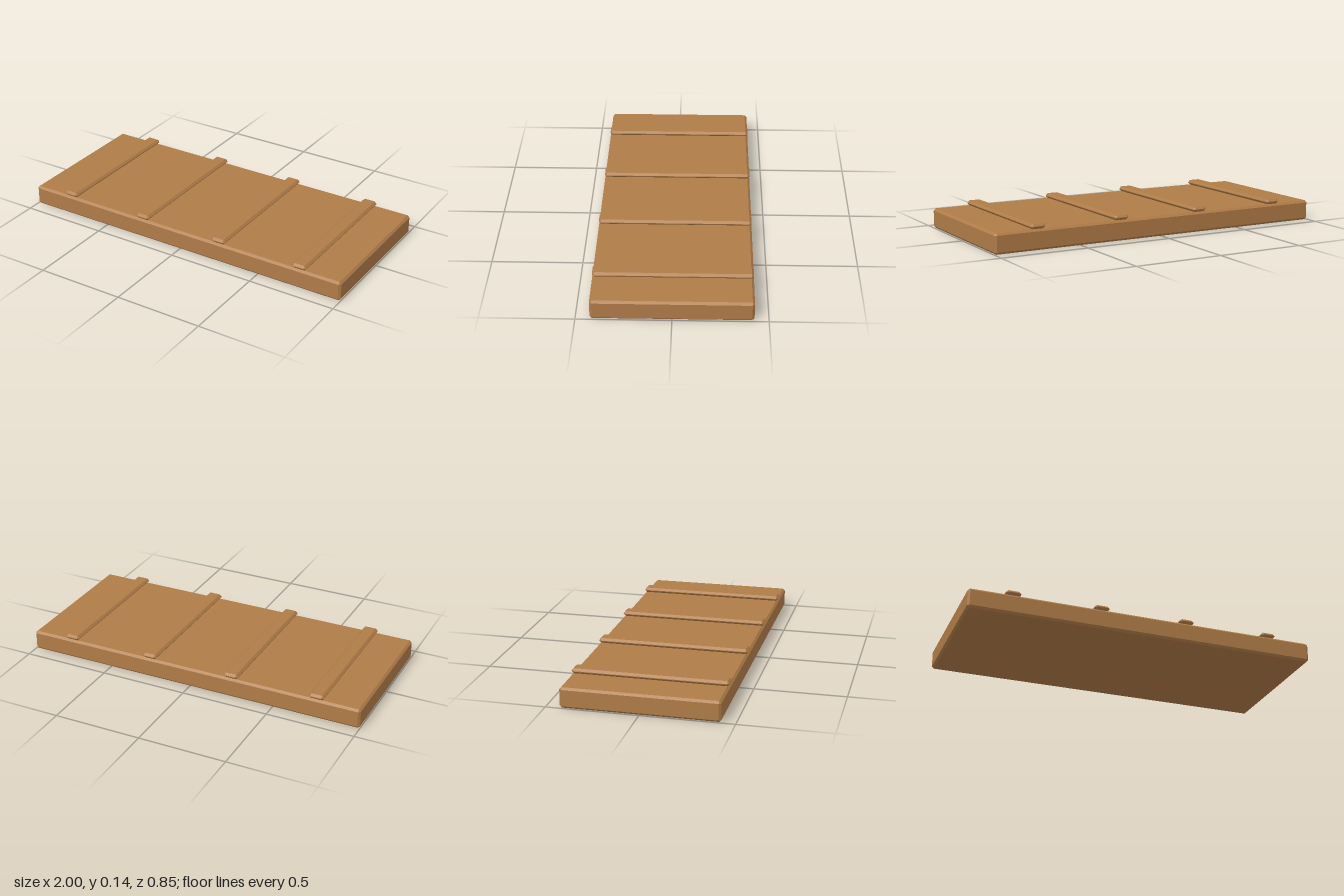
import * as THREE from 'three';
import { ConvexGeometry } from 'three/addons/geometries/ConvexGeometry.js';

// Box with every edge and corner chamfered by c, standing on y = 0
function chamferedBox(w, h, d, c) {
  const points = [];
  for (const sx of [-1, 1]) for (const sy of [-1, 1]) for (const sz of [-1, 1]) {
    // Each corner becomes a small triangle: one point on each adjoining face
    for (let axis = 0; axis < 3; axis++) {
      const half = [w / 2 - c, h / 2 - c, d / 2 - c];
      half[axis] += c;
      points.push(new THREE.Vector3(sx * half[0], sy * half[1] + h / 2, sz * half[2]));
    }
  }
  return new ConvexGeometry(points);
}

export function createModel() {
  const model = new THREE.Group();
  const wood = new THREE.MeshStandardMaterial({ color: 0xb07c48, flatShading: true });
  const chamfer = 0.012;
  const deckHeight = 0.113;
  const depth = 0.85;

  // Thick base slab
  const deck = new THREE.Mesh(chamferedBox(2, deckHeight, depth, chamfer), wood);
  deck.name = 'deck';
  model.add(deck);

  // Four evenly spaced battens across the top
  const battenGeometry = chamferedBox(0.085, 0.028, depth, chamfer);
  [-0.75, -0.25, 0.25, 0.75].forEach((x, i) => {
    const batten = new THREE.Mesh(battenGeometry, wood);
    batten.name = `batten${i + 1}`;
    batten.position.set(x, deckHeight, 0);
    model.add(batten);
  });

  return model;
}
